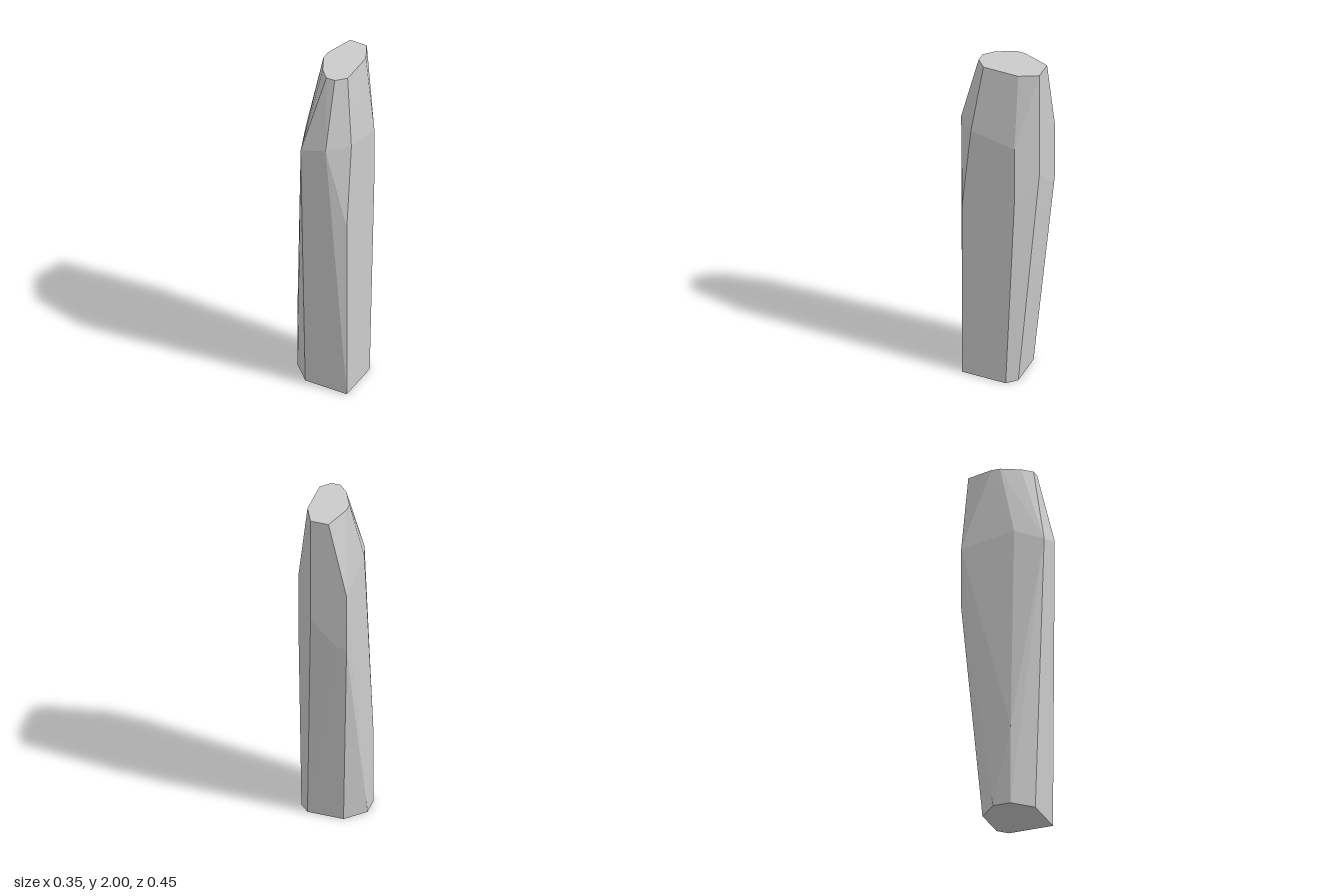
import * as THREE from 'three';
import { ConvexGeometry } from 'three/addons/geometries/ConvexGeometry.js';

// Corners of the chiselled stone, grouped by height: [y, [x, z], ...]
const levels = [
  // flat foot
  [0, [0.175, 0.175], [0.175, -0.075], [0.125, -0.125], [-0.075, -0.125],
    [-0.175, -0.025], [-0.175, 0.075], [-0.075, 0.175]],
  // lower side facets
  [0.45, [-0.175, 0.075]],
  [1.1, [0.175, 0.175]],
  // back bulge
  [1.2, [-0.125, -0.225], [-0.075, -0.225], [0.175, -0.125]],
  [1.35, [0.075, -0.225]],
  // shoulder where the stone starts to taper
  [1.55, [-0.125, -0.225], [-0.075, 0.225], [0.175, -0.125]],
  [1.6, [-0.125, 0.075], [0.075, 0.225], [0.175, 0.125]],
  // flat top
  [2, [-0.025, -0.225], [0.075, -0.225], [0.125, -0.125], [0.125, 0.075],
    [0.075, 0.125], [0.025, 0.125], [-0.025, 0.075], [-0.075, -0.025], [-0.075, -0.075]],
];

export function createModel() {
  const group = new THREE.Group();
  group.name = 'standingStone';

  const corners = levels.flatMap(([y, ...ring]) =>
    ring.map(([x, z]) => new THREE.Vector3(x, y, z)));

  // faceted body stretched over the corners
  const stone = new THREE.Mesh(
    new ConvexGeometry(corners),
    new THREE.MeshStandardMaterial({ color: 0xcccccc, flatShading: true })
  );
  stone.name = 'stoneBody';
  group.add(stone);
  return group;
}
